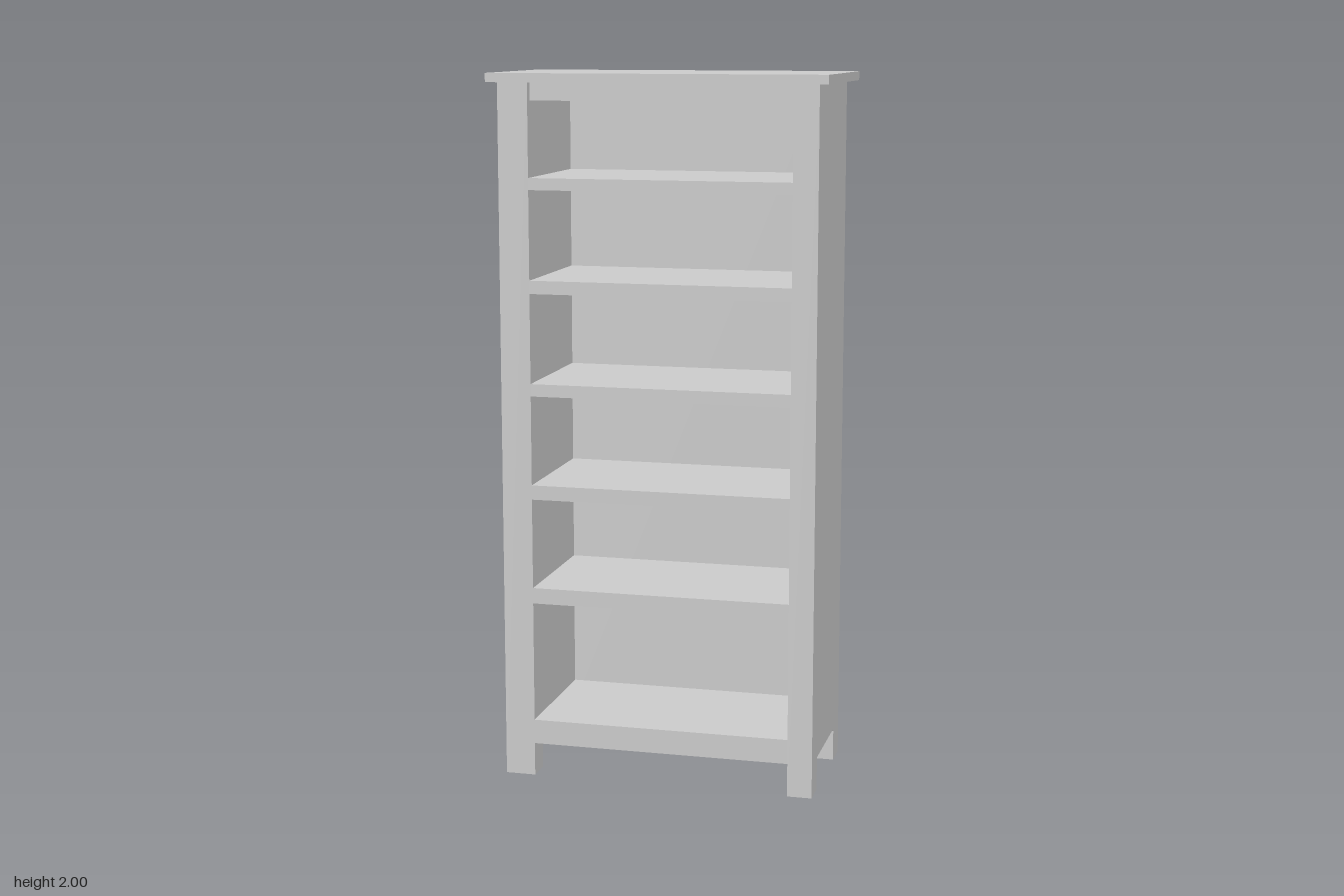
import * as THREE from 'three';

const material = new THREE.MeshStandardMaterial({ color: 0xcccccc, flatShading: true });

export function createModel() {
  const group = new THREE.Group();
  group.name = 'bookcase';

  const add = (name, geometry) => {
    const mesh = new THREE.Mesh(geometry, material);
    mesh.name = name;
    group.add(mesh);
    return mesh;
  };

  // Box given by its limits on each axis
  const block = (name, [x0, x1], [y0, y1], [z0, z1]) => {
    const mesh = add(name, new THREE.BoxGeometry(x1 - x0, y1 - y0, z1 - z0));
    mesh.position.set((x0 + x1) / 2, (y0 + y1) / 2, (z0 + z1) / 2);
  };

  const inner = [-0.364, 0.376]; // clear width between the sides
  const back = -0.207, front = 0.212, backInner = -0.19;
  const bodyTop = 1.975, footTop = 0.095;

  // Thick sides, notched below so that each leaves a front and a back foot
  const profile = new THREE.Shape([
    [front, 0], [front, bodyTop], [back, bodyTop], [back, 0],
    [-0.127, 0], [-0.127, 0.088], [-0.123, footTop],
    [0.131, footTop], [0.135, 0.075], [0.137, 0],
  ].map(([z, y]) => new THREE.Vector2(-z, y)));
  const side = (name, x0, x1) => {
    const geometry = new THREE.ExtrudeGeometry(profile, { depth: x1 - x0, bevelEnabled: false });
    geometry.rotateY(Math.PI / 2).translate(x0, 0, 0);
    add(name, geometry);
  };
  side('rightSide', -0.45, inner[0]);
  side('leftSide', inner[1], 0.446);

  // Back panel between the sides
  block('backPanel', inner, [footTop, bodyTop], [back, backInner]);

  // Plinth and shelves: lower and upper face of each
  const shelves = [
    [footTop, 0.165], [0.51, 0.555], [0.812, 0.853],
    [1.107, 1.142], [1.395, 1.432], [1.682, 1.715],
  ];
  shelves.forEach((span, i) => block(i ? 'shelf' + i : 'plinth', inner, span, [backInner, front]));

  // Set-back rail under the top, with the ceiling behind it
  block('topRail', inner, [1.925, bodyTop], [0.17, 0.19]);
  block('ceiling', inner, [1.932, bodyTop], [backInner, 0.17]);

  // Overhanging top board
  block('topBoard', [-0.475, 0.475], [bodyTop, 2], [-0.24, 0.24]);

  return group;
}
